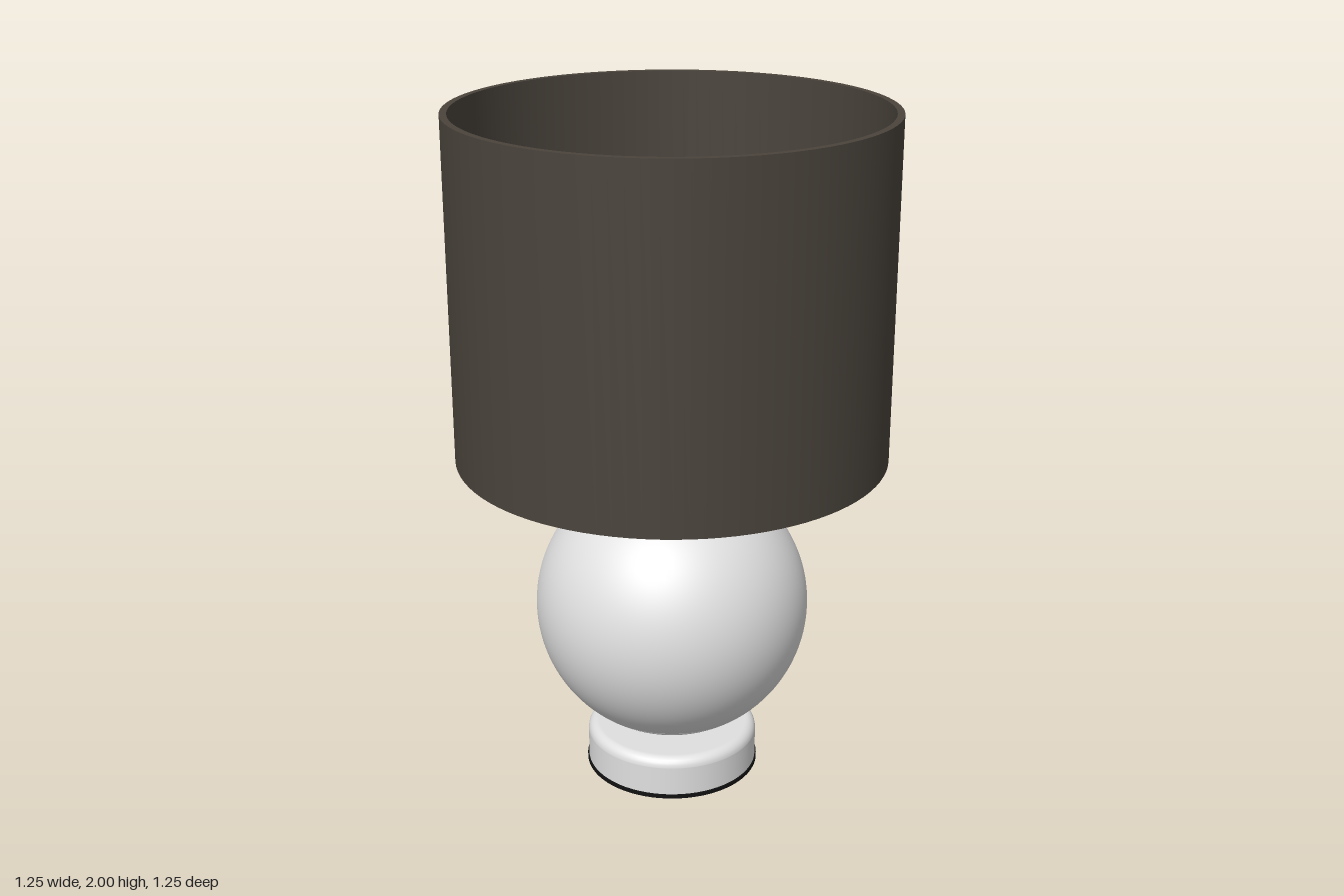
import * as THREE from 'three';

const shadeBrown = new THREE.MeshStandardMaterial({ color: 0x4a443c });
shadeBrown.name = 'shadeBrown';
const paleGrey = new THREE.MeshStandardMaterial({ color: 0xe0e0e0 });
paleGrey.name = 'paleGrey';
const black = new THREE.MeshStandardMaterial({ color: 0x111111 });
black.name = 'black';

export function createModel() {
  const lamp = new THREE.Group();
  lamp.name = 'tableLamp';

  const add = (name, geometry, material) => {
    const mesh = new THREE.Mesh(geometry, material);
    mesh.name = name;
    lamp.add(mesh);
    return mesh;
  };

  // Turned part from [radius, height] points; a third value marks a sharp edge
  const turned = (name, profile, material, sides = 72) => {
    const points = [];
    for (const [r, y, sharp] of profile) {
      points.push(new THREE.Vector2(r, y));
      if (sharp) points.push(new THREE.Vector2(r, y));
    }
    return add(name, new THREE.LatheGeometry(points, sides), material);
  };

  // Points along an arc in the profile plane, angles measured from horizontal
  const arc = (cx, cy, radius, from, to, steps) =>
    Array.from({ length: steps + 1 }, (_, i) => {
      const a = from + ((to - from) * i) / steps;
      return [Math.max(0, cx + radius * Math.cos(a)), cy + radius * Math.sin(a)];
    });

  // Round foot with a softened top edge, on a thin black pad
  turned('footPad', [[0, 0, 1], [0.26, 0, 1], [0.26, 0.012, 1], [0, 0.012]], black);
  turned('foot', [
    [0, 0.012, 1], [0.256, 0.012, 1], [0.256, 0.1],
    ...arc(0.226, 0.1, 0.03, 0.05, Math.PI / 2, 6), [0, 0.13],
  ], paleGrey);

  // Cord outlet at the back of the foot
  const outlet = add('cordOutlet', new THREE.CylinderGeometry(0.019, 0.019, 0.012, 20), black);
  outlet.rotation.x = Math.PI / 2;
  outlet.position.set(0, 0.065, -0.253);

  // Ball body in three sections, with fine seams between the caps and the middle
  const R = 0.404, cy = 0.532, seam = 0.9, gap = 0.004, H = Math.PI / 2;
  turned('ballBottom', [...arc(0, cy, R, -H, -seam - gap, 14), [0.24, cy - 0.315]], paleGrey, 96);
  turned('ballMiddle', arc(0, cy, R, -seam, seam, 40), paleGrey, 96);
  turned('ballTop', [[0.24, cy + 0.315, 1], ...arc(0, cy, R, seam + gap, H, 14)], paleGrey, 96);

  // Stem and bulb socket
  const stem = add('stem', new THREE.CylinderGeometry(0.03, 0.03, 0.22, 32), paleGrey);
  stem.position.y = 1.01;
  const socket = add('socket', new THREE.CylinderGeometry(0.075, 0.075, 0.3, 40), paleGrey);
  socket.position.y = 1.24;

  // Globe bulb with a tapering neck
  turned('bulb', [
    [0.06, 1.38], [0.062, 1.45], [0.075, 1.52], [0.1, 1.585],
    ...arc(0, 1.69, 0.14, -0.55, H, 20),
  ], paleGrey, 48);

  // Drum shade, open at both ends
  turned('shade', [
    [0.624, 1.01, 1], [0.624, 2, 1], [0.604, 2, 1], [0.604, 1.01, 1], [0.624, 1.01],
  ], shadeBrown, 96);

  // Shade carrier: a collar on the socket and three sloping wires
  const collar = add('carrierRing', new THREE.TorusGeometry(0.088, 0.014, 10, 40), paleGrey);
  collar.rotation.x = Math.PI / 2;
  collar.position.y = 1.3;
  for (let i = 0; i < 3; i++) {
    const a = (i * 2 * Math.PI) / 3;
    const at = (r, y) => new THREE.Vector3(r * Math.sin(a), y, r * Math.cos(a));
    const wire = new THREE.LineCurve3(at(0.09, 1.3), at(0.61, 1.04));
    add('carrierWire', new THREE.TubeGeometry(wire, 1, 0.005, 8), paleGrey);
  }

  return lamp;
}
